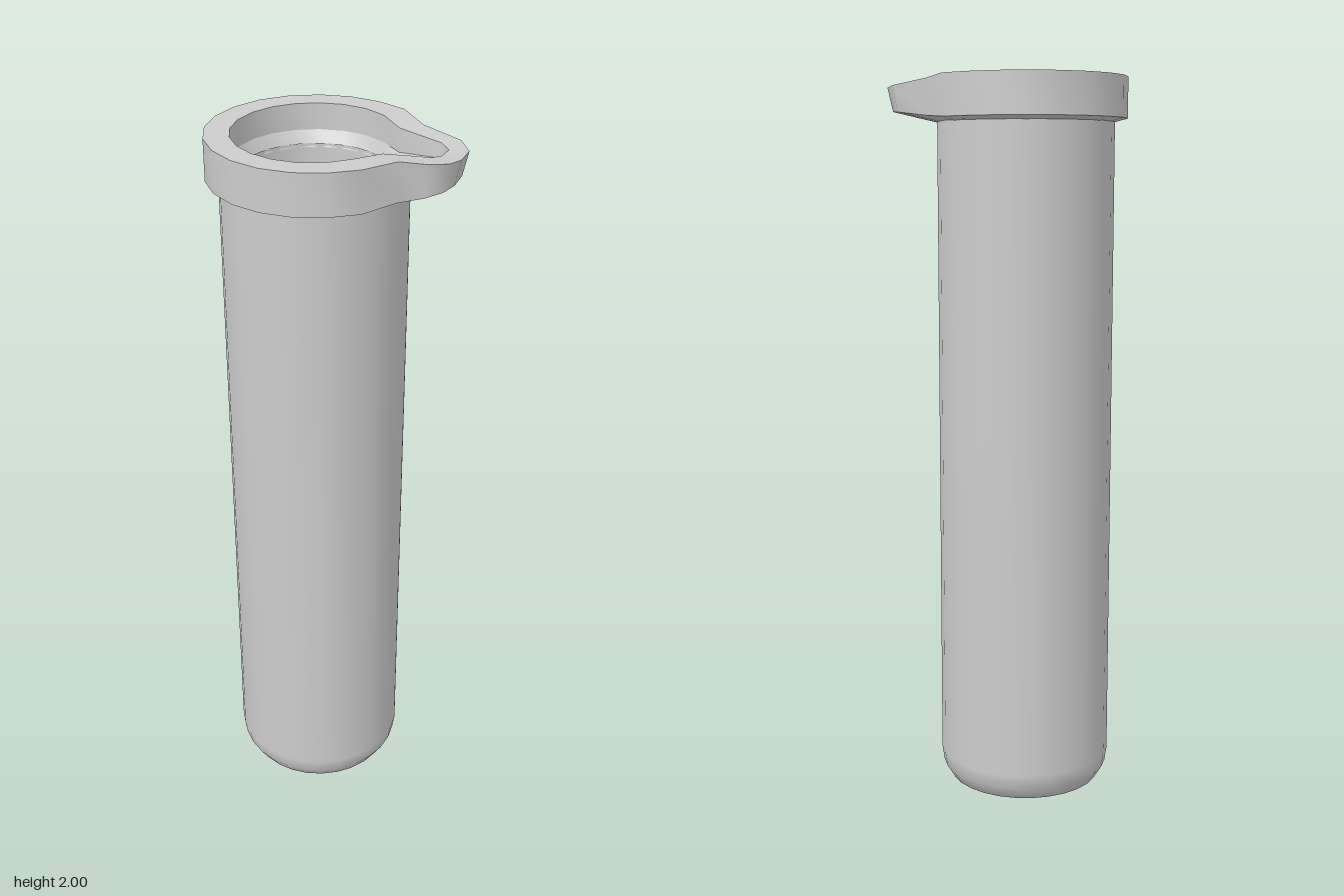
import * as THREE from 'three';

const CX = -0.055; // axis of the tube; the spout reaches out along +x

// Outer and inner outline of the spout, back to front: [xOuter, zOuter, xInner, zInner]
const SPOUT = [
  [0.14, -0.2, 0.095, -0.145],
  [0.2, -0.115, 0.145, -0.08],
  [0.3, -0.063, 0.255, -0.035],
  [0.327, 0, 0.277, 0],
  [0.315, 0.063, 0.265, 0.045],
  [0.29, 0.105, 0.245, 0.07],
  [0.245, 0.135, 0.2, 0.085],
  [0.175, 0.155, 0.13, 0.11],
  [0.1, 0.23, 0.07, 0.165],
];

// Horizontal circle around the tube axis
function circleRing(r, y, n = 28) {
  return Array.from({ length: n }, (_, i) => {
    const a = (i / n) * Math.PI * 2;
    return [CX + r * Math.cos(a), y, r * Math.sin(a)];
  });
}

// Smooth skin over closed rings, outward when an outside wall runs downwards
function skin(rings) {
  const n = rings[0].length;
  const index = [];
  for (let k = 0; k < rings.length - 1; k++) {
    for (let i = 0; i < n; i++) {
      const j = (i + 1) % n;
      const a = k * n + i, b = k * n + j, c = a + n, d = b + n;
      index.push(a, b, c, b, d, c);
    }
  }
  const g = new THREE.BufferGeometry();
  g.setAttribute('position', new THREE.Float32BufferAttribute(rings.flat(2), 3));
  g.setIndex(index);
  g.computeVertexNormals();
  return g;
}

export function createModel() {
  const group = new THREE.Group();
  const grey = new THREE.MeshStandardMaterial({ color: 0xcccccc });
  grey.name = 'grey';
  const add = (name, geometry, parent = group) => {
    const mesh = new THREE.Mesh(geometry, grey);
    mesh.name = name;
    parent.add(mesh);
    return mesh;
  };

  // Tube wall with a rounded foot
  add('tubeWall', skin([
    [0.241, 1.9], [0.241, 0.1], [0.235, 0.06], [0.212, 0.022], [0.175, 0.005],
  ].map(([r, y]) => circleRing(r, y))));

  // Flat underside and inner floor
  const base = add('base', new THREE.CircleGeometry(0.176, 28).rotateX(Math.PI / 2));
  base.position.set(CX, 0.004, 0);
  const floor = add('innerFloor', new THREE.CircleGeometry(0.19, 28).rotateX(-Math.PI / 2));
  floor.position.set(CX, 0.06, 0);

  // Inner wall
  add('innerWall', skin([circleRing(0.19, 0.06), circleRing(0.19, 1.9)]));

  // Rim outline: the spout followed by the rest of the circle
  const outline = SPOUT.slice();
  const start = Math.atan2(0.23, 0.155);
  const end = Math.PI * 2 + Math.atan2(-0.2, 0.195);
  const steps = 15;
  for (let i = 1; i < steps; i++) {
    const a = start + ((end - start) * i) / steps;
    const c = Math.cos(a), s = Math.sin(a);
    outline.push([CX + 0.275 * c, 0.275 * s, CX + 0.21 * c, 0.21 * s]);
  }

  // How far out along the spout a point lies, 0 to 1
  const reach = (x) => THREE.MathUtils.clamp((x - 0.15) / 0.17, 0, 1);
  const onTube = (x, z, r, y) => {
    const a = Math.atan2(z, x - CX);
    return [CX + r * Math.cos(a), y, r * Math.sin(a)];
  };

  const throat = outline.map(([, , x, z]) => onTube(x, z, 0.19, 1.89));
  const channel = outline.map(([, , x, z]) => [x - 0.012 * reach(x), 1.93 + 0.015 * reach(x), z]);
  const lipInner = outline.map(([x, , xi, zi]) => [xi, 2 - 0.025 * reach(x), zi]);
  const lipOuter = outline.map(([x, z]) => [x, 2 - 0.025 * reach(x), z]);
  const lipBottom = outline.map(([x, z]) => [x - 0.015 * reach(x), 1.89 + 0.02 * reach(x), z]);
  const collar = outline.map(([x, z]) => onTube(x, z, 0.238, 1.88));

  // Rim with pouring spout, one crisp-edged band per face
  const rim = new THREE.Group();
  rim.name = 'rim';
  add('pouringChannel', skin([throat, channel]), rim);
  add('rimInside', skin([channel, lipInner]), rim);
  add('rimTop', skin([lipInner, lipOuter]), rim);
  add('rimOutside', skin([lipOuter, lipBottom]), rim);
  add('rimUnderside', skin([lipBottom, collar]), rim);
  group.add(rim);

  return group;
}
